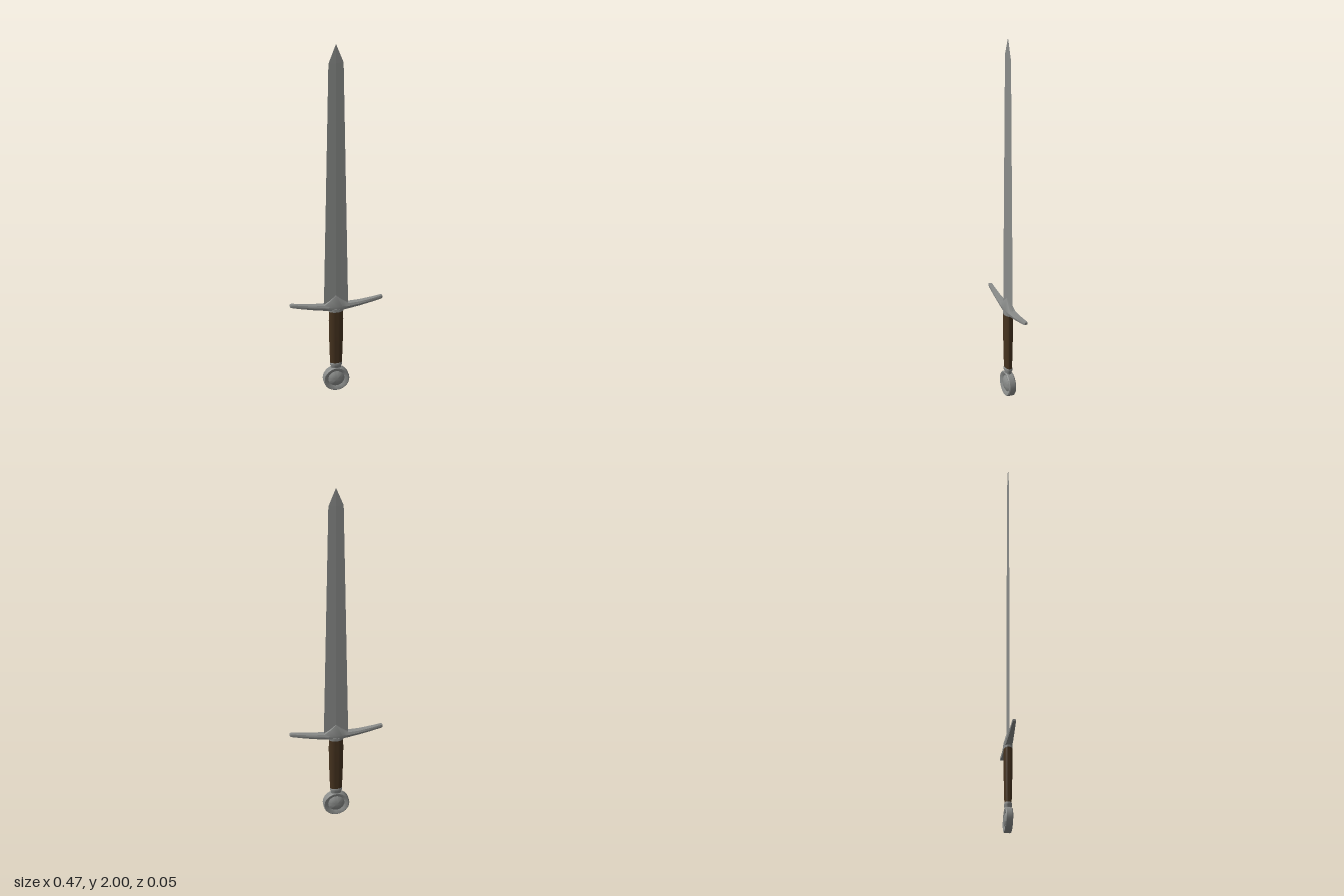
import * as THREE from 'three';
import { toCreasedNormals } from 'three/addons/utils/BufferGeometryUtils.js';

const steel = new THREE.MeshStandardMaterial({ color: 0x8a8c8a });
steel.name = 'steel';
const leather = new THREE.MeshStandardMaterial({ color: 0x46331f });
leather.name = 'brown leather';

// Skin a list of equal-length rings (counter-clockwise about the axis), with end caps
function loft(rings, crease) {
  const pos = [];
  const n = rings[0].length;
  const tri = (a, b, c) => pos.push(...a, ...b, ...c);
  for (let i = 0; i < rings.length - 1; i++) {
    for (let j = 0; j < n; j++) {
      const k = (j + 1) % n;
      const [lo, hi] = [rings[i], rings[i + 1]];
      tri(lo[j], lo[k], hi[k]);
      tri(lo[j], hi[k], hi[j]);
    }
  }
  const first = rings[0], last = rings[rings.length - 1];
  for (let j = 1; j < n - 1; j++) {
    tri(first[0], first[j + 1], first[j]);
    tri(last[0], last[j], last[j + 1]);
  }
  const g = new THREE.BufferGeometry();
  g.setAttribute('position', new THREE.Float32BufferAttribute(pos, 3));
  return toCreasedNormals(g, crease);
}

// Revolved profile of [radius, height] pairs
function lathe(profile, segments, crease) {
  const pts = profile.map(([r, y]) => new THREE.Vector2(r, y));
  return toCreasedNormals(new THREE.LatheGeometry(pts, segments), crease);
}

export function createModel() {
  const model = new THREE.Group();
  model.name = 'sword';
  const add = (name, geometry, material) => {
    const mesh = new THREE.Mesh(geometry, material);
    mesh.name = name;
    model.add(mesh);
    return mesh;
  };

  // Blade: thin diamond section, [height, half width, half thickness]
  const blade = [[0.47, 0.062, 0.003], [1.89, 0.039, 0.002], [2.0, 0.0005, 0.0003]];
  add('blade', loft(blade.map(([y, w, t]) =>
    [[0, y, t], [w, y, 0], [0, y, -t], [-w, y, 0]]), 0.01), steel);

  // Crossguard: half stations [x, top y, middle y, bottom y, top z, middle z, bottom z]
  const half = [
    [0, 0.543, 0.486, 0.463, 0.007, 0.0225, 0.019],
    [0.03, 0.515, 0.483, 0.464, 0.010, 0.021, 0.017],
    [0.06, 0.495, 0.482, 0.467, 0.013, 0.019, 0.015],
    [0.12, 0.498, 0.488, 0.476, 0.012, 0.0155, 0.012],
    [0.18, 0.507, 0.498, 0.488, 0.010, 0.0125, 0.010],
    [0.228, 0.516, 0.508, 0.499, 0.008, 0.010, 0.008],
    [0.235, 0.514, 0.508, 0.502, 0.006, 0.008, 0.006],
  ];
  const mirrored = half.slice(1).reverse().map(([x, ...rest]) => [-x, ...rest]);
  add('crossguard', loft([...mirrored, ...half].map(([x, yt, ym, yb, zt, zm, zb]) => [
    [x, yt, -zt], [x, yt, zt], [x, ym, zm], [x, yb, zb], [x, yb, -zb], [x, ym, -zm],
  ]), 0.55), steel);

  // Grip: tapered oval
  add('grip', lathe([[0.029, 0.145], [0.032, 0.2], [0.036, 0.32], [0.037, 0.4], [0.036, 0.456]],
    24, 0.6), leather).scale.z = 0.6;

  // Oval collars at both ends of the grip
  add('upperCollar', lathe([[0, 0.453], [0.037, 0.453], [0.038, 0.46], [0.037, 0.47], [0, 0.47]],
    24, 0.6), steel).scale.z = 0.6;
  add('lowerCollar', lathe([[0, 0.115], [0.024, 0.115], [0.026, 0.135], [0.030, 0.142],
    [0.030, 0.154], [0.028, 0.157], [0, 0.157]], 24, 0.6), steel).scale.z = 0.66;

  // Wheel pommel: rim, sunken ring and domed boss on both faces
  const face = [[0, 0.0215], [0.016, 0.0205], [0.03, 0.0165], [0.041, 0.009],
    [0.056, 0.0185], [0.061, 0.0185], [0.065, 0.014]];
  const profile = [...face.map(([r, z]) => [r, -z]), ...[...face].reverse()];
  const pommel = lathe(profile, 32, 0.6);
  pommel.rotateX(Math.PI / 2);
  add('pommel', pommel, steel).position.y = 0.065;

  return model;
}
